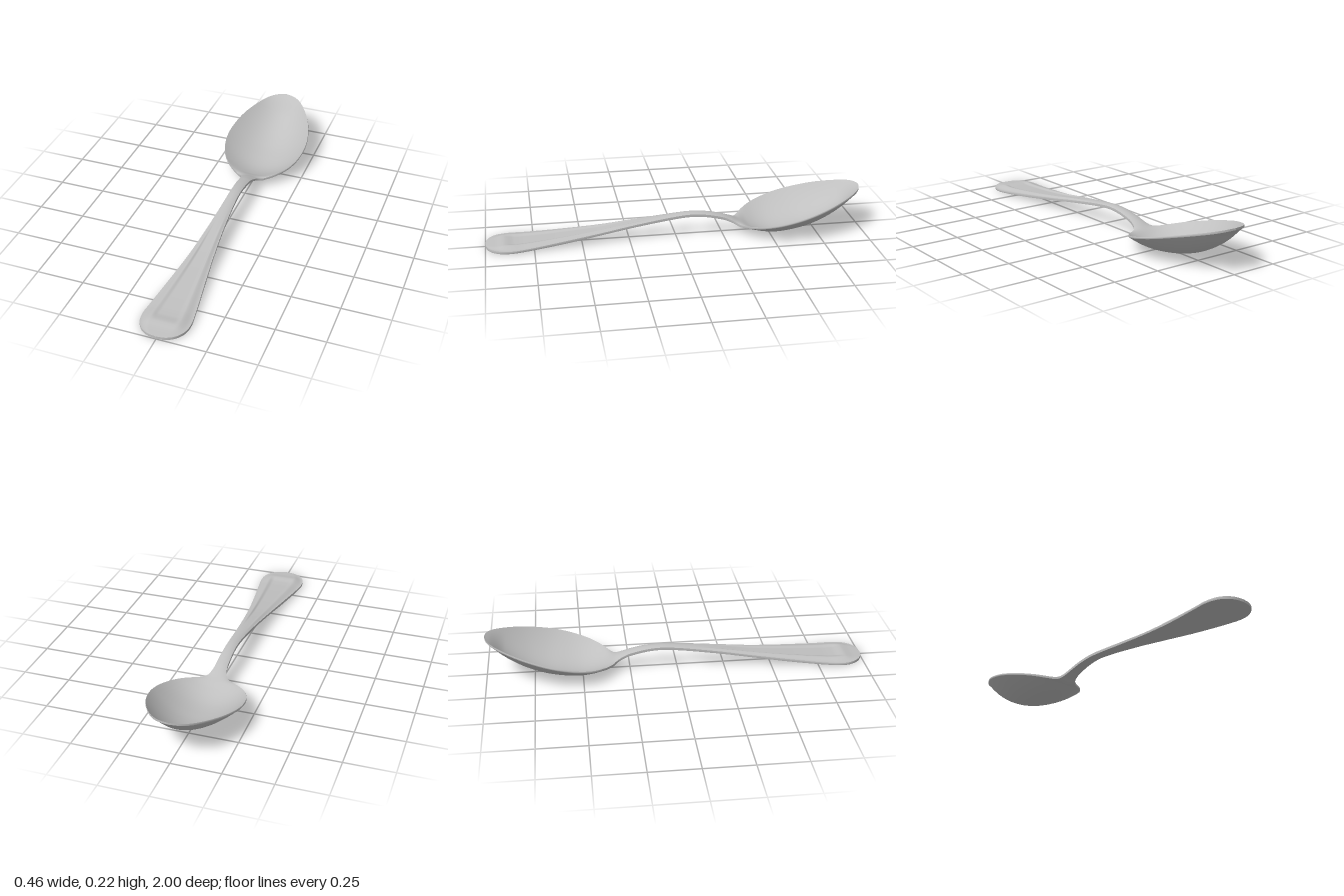
import * as THREE from 'three';

// Half outline seen from above: [half width, z], bowl tip to handle end
const OUTLINE = [
  [0, -1], [0.045, -0.99], [0.09, -0.962], [0.14, -0.9], [0.193, -0.8], [0.222, -0.7],
  [0.23, -0.62], [0.218, -0.53], [0.185, -0.45], [0.135, -0.39], [0.08, -0.345],
  [0.05, -0.32], [0.035, -0.28], [0.03, -0.2], [0.028, -0.05], [0.04, 0.18],
  [0.061, 0.4], [0.088, 0.6], [0.117, 0.8], [0.124, 0.87], [0.115, 0.925],
  [0.085, 0.97], [0.045, 0.993], [0, 1],
];

// Heights along the spoon: z, edge top, edge bottom, centre top, centre bottom
const HEIGHTS = [
  [-1, 0.225, 0.215, 0.225, 0.215],
  [-0.97, 0.217, 0.206, 0.202, 0.19],
  [-0.9, 0.199, 0.188, 0.134, 0.122],
  [-0.8, 0.174, 0.163, 0.074, 0.062],
  [-0.7, 0.148, 0.137, 0.037, 0.025],
  [-0.6, 0.123, 0.112, 0.018, 0.006],
  [-0.52, 0.102, 0.091, 0.012, 0],
  [-0.46, 0.087, 0.076, 0.018, 0.006],
  [-0.4, 0.072, 0.06, 0.035, 0.021],
  [-0.36, 0.061, 0.049, 0.053, 0.036],
  [-0.335, 0.058, 0.045, 0.064, 0.044],
  [-0.3, 0.073, 0.06, 0.08, 0.06],
  [-0.25, 0.092, 0.078, 0.098, 0.077],
  [-0.15, 0.112, 0.098, 0.118, 0.096],
  [-0.05, 0.115, 0.101, 0.121, 0.099],
  [0.2, 0.086, 0.073, 0.094, 0.072],
  [0.4, 0.058, 0.046, 0.067, 0.044],
  [0.6, 0.036, 0.022, 0.046, 0.018],
  [0.8, 0.018, 0.006, 0.031, 0.003],
  [0.9, 0.015, 0.002, 0.029, 0.001],
  [0.95, 0.016, 0.002, 0.021, 0.001],
  [1, 0.016, 0.002, 0.016, 0.002],
];

const smooth = THREE.MathUtils.smoothstep;

// Smooth (Hermite) lookup of one height column at z
function heightAt(z, col) {
  const n = HEIGHTS.length;
  let i = 0;
  while (i < n - 2 && z > HEIGHTS[i + 1][0]) i++;
  const slope = (k) => {
    const a = HEIGHTS[Math.max(k - 1, 0)], b = HEIGHTS[Math.min(k + 1, n - 1)];
    return (b[col] - a[col]) / (b[0] - a[0]);
  };
  const a = HEIGHTS[i], b = HEIGHTS[i + 1], h = b[0] - a[0];
  const t = THREE.MathUtils.clamp((z - a[0]) / h, 0, 1), t2 = t * t, t3 = t2 * t;
  return (2 * t3 - 3 * t2 + 1) * a[col] + (t3 - 2 * t2 + t) * h * slope(i)
    + (3 * t2 - 2 * t3) * b[col] + (t3 - t2) * h * slope(i + 1);
}

// Height of the upper face; u runs from -1 to 1 across the width
function topY(z, u) {
  const edge = heightAt(z, 1), centre = heightAt(z, 3), au = Math.abs(u);
  const crown = THREE.MathUtils.lerp(1 - u * u, 1 - smooth(au, 0.55, 0.97), smooth(z, 0, 0.35));
  // Shallow sunken panel of the handle
  const panel = (1 - smooth(au, 0.38, 0.6)) * smooth(z, 0.1, 0.45) * (1 - smooth(z, 0.85, 0.91));
  return edge + (centre - edge) * crown - 0.007 * panel;
}

function bottomY(z, u) {
  const edge = heightAt(z, 2), centre = heightAt(z, 4);
  return edge + (centre - edge) * (1 - u * u);
}

// Grid surface over the outline rows; point(row, v) returns [x, y, z]
function surface(name, rows, cols, point, material) {
  const positions = [], index = [], stride = cols + 1;
  rows.forEach((row, i) => {
    for (let j = 0; j <= cols; j++) {
      positions.push(...point(row, j / cols));
      if (i < rows.length - 1 && j < cols) {
        const a = i * stride + j, b = a + stride;
        index.push(a, b, a + 1, b, b + 1, a + 1);
      }
    }
  });
  const geometry = new THREE.BufferGeometry();
  geometry.setAttribute('position', new THREE.Float32BufferAttribute(positions, 3));
  geometry.setIndex(index);
  geometry.computeVertexNormals();
  const mesh = new THREE.Mesh(geometry, material);
  mesh.name = name;
  return mesh;
}

export function createModel() {
  const group = new THREE.Group();
  group.name = 'spoon';
  const steel = new THREE.MeshStandardMaterial({ color: 0xc0c0c0, side: THREE.DoubleSide });
  steel.name = 'steel grey';

  const curve = new THREE.CatmullRomCurve3(OUTLINE.map(([w, z]) => new THREE.Vector3(w, 0, z)));
  const rows = curve.getPoints(230).map((p) => ({
    w: Math.max(p.x, 0), z: THREE.MathUtils.clamp(p.z, -1, 1),
  }));

  // Upper and lower faces of the bowl and handle
  group.add(surface('upperFace', rows, 48, ({ w, z }, v) => {
    const u = 2 * v - 1;
    return [w * u, topY(z, u), z];
  }, steel));
  group.add(surface('underside', rows, 48, ({ w, z }, v) => {
    const u = 1 - 2 * v;
    return [w * u, bottomY(z, u), z];
  }, steel));

  // Thin side edges joining the two faces
  for (const side of [1, -1]) {
    group.add(surface(side > 0 ? 'leftEdge' : 'rightEdge', rows, 3, ({ w, z }, v) => {
      const k = side > 0 ? v : 1 - v;
      const bulge = 1 + 0.01 * Math.sin(Math.PI * v);
      return [side * w * bulge, THREE.MathUtils.lerp(topY(z, 1), bottomY(z, 1), k), z];
    }, steel));
  }
  return group;
}
